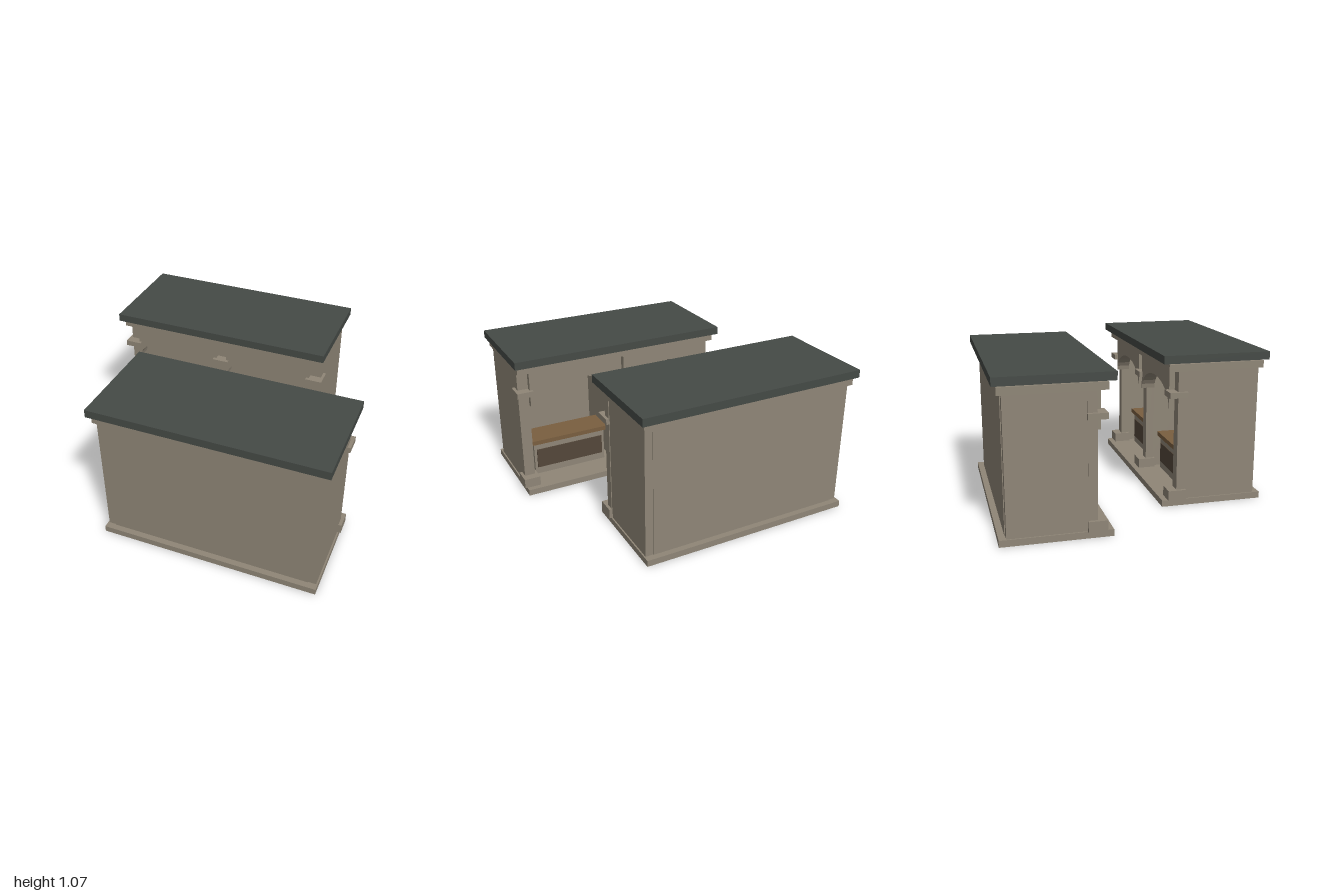
import * as THREE from 'three';

const mat = (name, color) => {
  const m = new THREE.MeshStandardMaterial({ color });
  m.name = name;
  return m;
};

// Box given by its x, y and z ranges
function box(parent, name, material, [x0, x1], [y0, y1], [z0, z1]) {
  const mesh = new THREE.Mesh(new THREE.BoxGeometry(x1 - x0, y1 - y0, z1 - z0), material);
  mesh.position.set((x0 + x1) / 2, (y0 + y1) / 2, (z0 + z1) / 2);
  mesh.name = name;
  parent.add(mesh);
}

// Spandrel panel with a flattened arch cut from its lower edge
function archGeometry() {
  const w = 0.325, r = 0.32, spring = 0.68, rise = 0.17, n = 16;
  const s = new THREE.Shape();
  s.moveTo(w, spring);
  s.lineTo(w, 0.95);
  s.lineTo(-w, 0.95);
  s.lineTo(-w, spring);
  for (let i = 0; i <= n; i++) {
    const a = Math.PI * (1 - i / n);
    s.lineTo(r * Math.cos(a), spring + rise * Math.sin(a));
  }
  return new THREE.ExtrudeGeometry(s, { depth: 0.1, bevelEnabled: false });
}

// One stall with two arched bays opening towards +z
function createStall(m) {
  const g = new THREE.Group();

  // Slabs
  box(g, 'base', m.stone, [-0.775, 0.775], [0, 0.045], [-0.947, -0.222]);
  box(g, 'cornice', m.stone, [-0.78, 0.78], [0.95, 1.0], [-0.93, -0.255]);
  box(g, 'roof', m.slate, [-0.805, 0.805], [1.01, 1.065], [-0.96, -0.21]);

  // Walls
  const wallY = [0.045, 0.95];
  box(g, 'backWall', m.stone, [-0.71, 0.71], wallY, [-0.905, -0.85]);
  box(g, 'leftWall', m.stone, [0.71, 0.765], wallY, [-0.9, -0.325]);
  box(g, 'rightWall', m.stone, [-0.765, -0.71], wallY, [-0.9, -0.325]);
  box(g, 'partition', m.stone, [-0.025, 0.025], wallY, [-0.85, -0.33]);

  // Piers with plinth and impost blocks
  for (const x of [-0.73, 0, 0.73]) {
    const p = new THREE.Group();
    p.name = 'pier';
    p.position.x = x;
    box(p, 'pierShaft', m.stone, [-0.038, 0.04], wallY, [-0.385, -0.324]);
    box(p, 'pierPlinth', m.stone, [-0.06, 0.06], [0.045, 0.115], [-0.39, -0.263]);
    box(p, 'pierImpost', m.stone, [-0.06, 0.06], [0.77, 0.81], [-0.39, -0.26]);
    g.add(p);
  }

  // Bays: arch and counter
  const arch = archGeometry();
  for (const x of [-0.365, 0.365]) {
    const bay = new THREE.Group();
    bay.name = 'bay';
    bay.position.x = x;
    const a = new THREE.Mesh(arch, m.stone);
    a.name = 'arch';
    a.position.z = -0.385;
    bay.add(a);
    box(bay, 'counterBody', m.stone, [-0.285, 0.285], [0.045, 0.3], [-0.61, -0.43]);
    box(bay, 'counterPanel', m.darkWood, [-0.265, 0.265], [0.1, 0.25], [-0.431, -0.423]);
    box(bay, 'counterTop', m.wood, [-0.305, 0.305], [0.3, 0.333], [-0.63, -0.41]);
    g.add(bay);
  }
  return g;
}

export function createModel() {
  const m = {
    stone: mat('stone', 0x8f8677),
    slate: mat('slate', 0x454a46),
    wood: mat('wood', 0x7a5f40),
    darkWood: mat('dark wood', 0x54473a),
  };
  const model = new THREE.Group();
  model.name = 'marketStalls';

  // Two facing stalls, half a turn apart
  ['backStall', 'frontStall'].forEach((name, i) => {
    const turn = new THREE.Group();
    turn.name = name;
    turn.rotation.y = i * Math.PI;
    const stall = createStall(m);
    stall.name = 'stall';
    stall.position.x = -0.195;
    turn.add(stall);
    model.add(turn);
  });
  return model;
}
